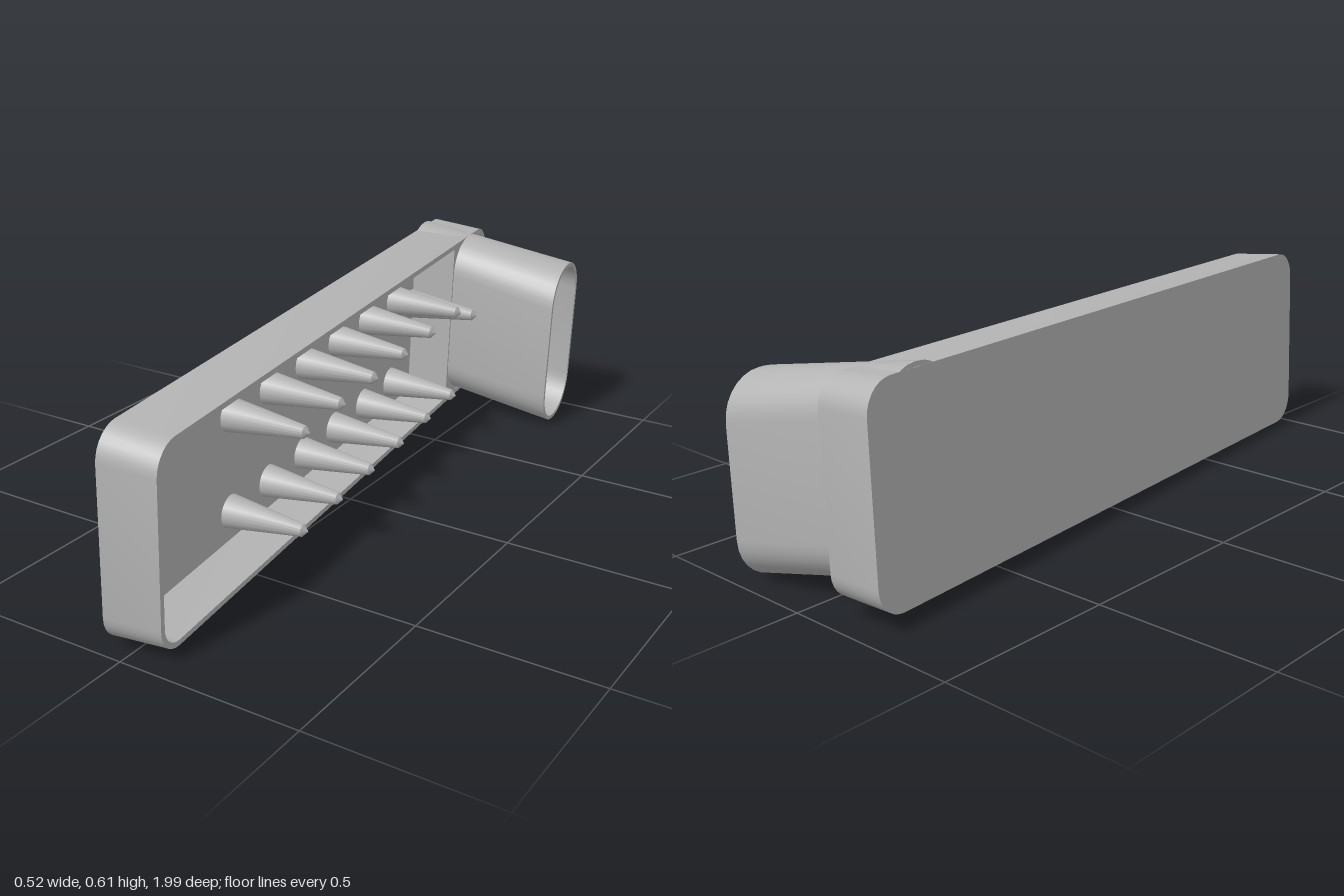
import * as THREE from 'three';
import { toCreasedNormals } from 'three/addons/utils/BufferGeometryUtils.js';

// Rounded rectangle outline, counter-clockwise
function roundedOutline(cx, cy, hw, hh, r, steps = 7) {
  const pts = [];
  [[1, 1], [-1, 1], [-1, -1], [1, -1]].forEach(([sx, sy], q) => {
    for (let i = 0; i <= steps; i++) {
      const t = (q + i / steps) * Math.PI / 2;
      pts.push(new THREE.Vector2(
        cx + sx * (hw - r) + r * Math.cos(t),
        cy + sy * (hh - r) + r * Math.sin(t)));
    }
  });
  return pts;
}

// Skin through rounded-rectangle sections [cx, cy, halfWidth, halfHeight, radius, z]
function loft(sections, capped) {
  const rings = sections.map(([cx, cy, hw, hh, r, z]) =>
    roundedOutline(cx, cy, hw, hh, r).map(p => [p.x, p.y, z]));
  const pos = [];
  const tri = (a, b, c) => pos.push(...a, ...b, ...c);
  const n = rings[0].length;
  for (let i = 0; i < rings.length - 1; i++) {
    for (let j = 0; j < n; j++) {
      const k = (j + 1) % n, lo = rings[i], hi = rings[i + 1];
      tri(lo[j], lo[k], hi[k]);
      tri(lo[j], hi[k], hi[j]);
    }
  }
  if (capped) {
    const first = rings[0], last = rings[rings.length - 1];
    for (let j = 1; j < n - 1; j++) {
      tri(first[0], first[j + 1], first[j]);
      tri(last[0], last[j], last[j + 1]);
    }
  }
  const g = new THREE.BufferGeometry();
  g.setAttribute('position', new THREE.Float32BufferAttribute(pos, 3));
  return toCreasedNormals(g, 0.6);
}

export function createModel() {
  const model = new THREE.Group();
  const grey = new THREE.MeshStandardMaterial({ color: 0xb3b3b3 });
  grey.name = 'grey plastic';

  // Tilted frame: x runs to the back end, y up, z out of the open side
  const body = new THREE.Group();
  body.name = 'holder';
  const along = new THREE.Vector3(-0.105, 0.0127, -0.994).normalize();
  const out = new THREE.Vector3(0.994, -0.04, -0.105);
  out.addScaledVector(along, -out.dot(along)).normalize();
  const up = new THREE.Vector3().crossVectors(out, along);
  body.quaternion.setFromRotationMatrix(new THREE.Matrix4().makeBasis(along, up, out));
  body.position.set(-0.145, 0.31, 0.015);
  model.add(body);

  const add = (name, geometry) => {
    const mesh = new THREE.Mesh(geometry, grey);
    mesh.name = name;
    body.add(mesh);
    return mesh;
  };

  // Shallow tray with drafted walls
  const depth = 0.155, floor = 0.02;
  add('tray', loft([
    [0, 0, 0.985, 0.2775, 0.08, 0],
    [0, 0, 0.978, 0.269, 0.075, depth],
    [0, 0, 0.963, 0.254, 0.06, depth],
    [0, 0, 0.961, 0.252, 0.06, floor],
  ], true));

  // Raised block at the back end: top face with an opening, and a front wall
  const edge = 0.708, hx = 0.964, hy = 0.255, r = 0.06;
  const face = new THREE.Shape();
  face.moveTo(edge, -hy);
  face.lineTo(hx - r, -hy);
  face.absarc(hx - r, -hy + r, r, -Math.PI / 2, 0, false);
  face.lineTo(hx, hy - r);
  face.absarc(hx - r, hy - r, r, 0, Math.PI / 2, false);
  face.lineTo(edge, hy);
  face.closePath();
  face.holes.push(new THREE.Path(roundedOutline(0.826, 0.006, 0.108, 0.246, 0.1)));
  add('blockFace', new THREE.ShapeGeometry(face, 7)).position.z = depth - 0.001;

  const wall = add('blockWall', new THREE.BoxGeometry(0.006, hy * 2, depth - floor - 0.001));
  wall.position.set(edge + 0.003, 0, (depth + floor - 0.001) / 2);

  // Slanted, slightly flaring oval spout
  const t = 0.012;
  const base = [0.82, 0.035], end = [0.84, -0.037];
  add('spout', loft([
    [...base, 0.107 - t, 0.255 - t, 0.088, 0.001],
    [...base, 0.107, 0.255, 0.1, 0.001],
    [...end, 0.124, 0.2615, 0.115, 0.485],
    [...end, 0.124 - t, 0.2615 - t, 0.103, 0.485],
    [...base, 0.107 - t, 0.255 - t, 0.088, 0.001],
  ], false));

  // Tapered pegs with blunt points: two rows and one extra beside the spout
  const profile = [[0.047, 0.015], [0.017, 0.235], [0, 0.25]]
    .map(([x, y]) => new THREE.Vector2(x, y));
  const pegGeometry = toCreasedNormals(
    new THREE.LatheGeometry(profile, 20).rotateX(Math.PI / 2), 0.5);
  const spots = [[0.69, 0.056]];
  for (let i = 0; i < 6; i++) {
    const x = -0.445 + i * 0.199;
    spots.push([x, 0.11], [x, -0.167]);
  }
  spots.forEach(([x, y]) => add('peg', pegGeometry).position.set(x, y, 0));

  return model;
}
